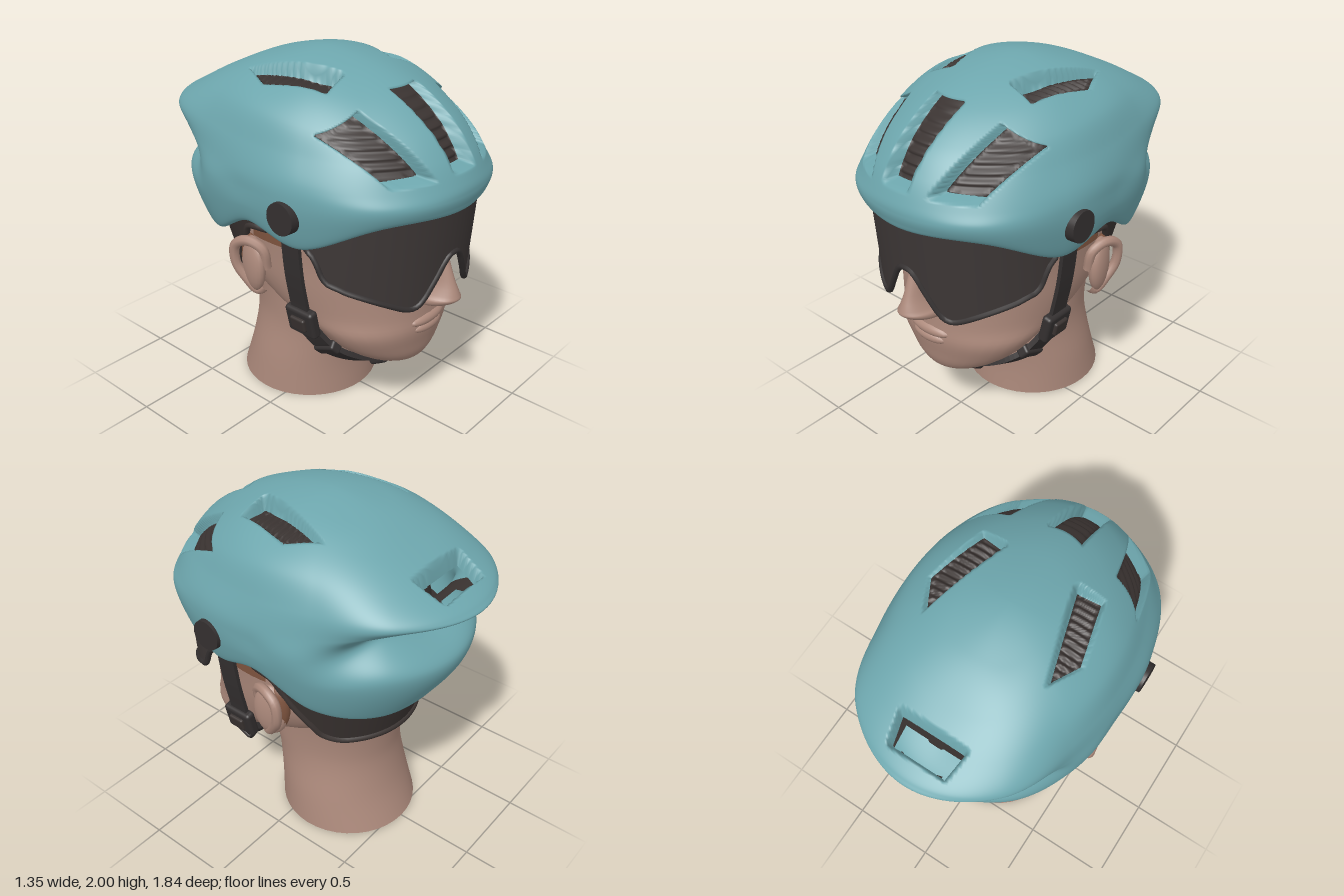
import * as THREE from 'three';
import { RoundedBoxGeometry } from 'three/addons/geometries/RoundedBoxGeometry.js';

const paint = (name, color, side = THREE.FrontSide) => {
  const m = new THREE.MeshStandardMaterial({ color, side });
  m.name = name;
  return m;
};
const V = (x, y, z) => new THREE.Vector3(x, y, z);

// Catmull-Rom blend of four numbers
const blend = (a, b, c, d, t) =>
  b + 0.5 * t * (c - a + t * (2 * a - 5 * b + 4 * c - d + t * (3 * (b - c) + d - a)));

// Surface over a (u, v) grid; kind() sorts triangles: 0 first material, 1 second, 2 left open
function grid(nu, nv, wrap, point, kind) {
  const cols = wrap ? nu : nu + 1, pos = [], lists = [[], [], []];
  for (let j = 0; j <= nv; j++)
    for (let i = 0; i < cols; i++) pos.push(...point(i / nu, j / nv, i).toArray());
  for (let j = 0; j < nv; j++)
    for (let i = 0; i < nu; i++) {
      const k = (i + 1) % cols, a = j * cols + i, b = j * cols + k, c = a + cols, d = b + cols;
      for (const tri of [[a, b, c], [b, d, c]]) lists[kind ? kind(tri) : 0].push(...tri);
    }
  const g = new THREE.BufferGeometry();
  g.setAttribute('position', new THREE.Float32BufferAttribute(pos, 3));
  g.setIndex(lists[0].concat(lists[1]));
  if (kind) {
    g.addGroup(0, lists[0].length, 0);
    g.addGroup(lists[0].length, lists[1].length, 1);
  }
  g.computeVertexNormals();
  return g;
}

// Stack of ellipses, each [y, zFront, zBack, halfWidth]
function loft(rings) {
  const n = rings.length - 1, at = (i) => rings[Math.max(0, Math.min(n, i))];
  return grid(40, n * 4, true, (u, v) => {
    const i = Math.min(n - 1, Math.floor(v * n)), t = v * n - i, a = u * Math.PI * 2;
    const [y, f, b, w] = [0, 1, 2, 3].map((k) => blend(at(i - 1)[k], at(i)[k], at(i + 1)[k], at(i + 2)[k], t));
    return V(w * Math.sin(a), y, (f + b) / 2 + ((f - b) / 2) * Math.cos(a));
  });
}

// Flat webbing along a path
function ribbon(points, across, width, thick) {
  const curve = new THREE.CatmullRomCurve3(points), corners = [[1, 1], [-1, 1], [-1, -1], [1, -1]];
  const g = grid(4, 40, true, (u, v, i) => {
    const T = curve.getTangent(v), N = T.clone().cross(across).normalize(), W = N.clone().cross(T).normalize();
    return curve.getPoint(v).addScaledVector(W, corners[i][0] * width / 2).addScaledVector(N, corners[i][1] * thick / 2);
  }).toNonIndexed();
  g.computeVertexNormals();
  return g;
}

const stepFrom = (knots, x) => {
  let i = 0;
  while (i < knots.length - 2 && x > knots[i + 1][0]) i++;
  const [a, b] = [knots[i], knots[i + 1]];
  return THREE.MathUtils.mapLinear(Math.min(x, b[0]), a[0], b[0], a[1], b[1]);
};

// Shell profiles [radius, y] from crown to lower edge, every 30 degrees from front to back
const PROFILES = [
  [[.30, 1.955], [.55, 1.86], [.74, 1.73], [.85, 1.6], [.91, 1.48], [.92, 1.42], [.91, 1.37], [.89, 1.33]],
  [[.28, 1.955], [.50, 1.86], [.67, 1.73], [.78, 1.6], [.85, 1.48], [.88, 1.42], [.87, 1.36], [.84, 1.32]],
  [[.25, 1.96], [.44, 1.88], [.58, 1.76], [.66, 1.62], [.72, 1.5], [.735, 1.4], [.72, 1.28], [.68, 1.15]],
  [[.23, 1.965], [.40, 1.89], [.54, 1.785], [.61, 1.63], [.65, 1.5], [.655, 1.4], [.65, 1.3], [.62, 1.21]],
  [[.25, 1.96], [.43, 1.89], [.57, 1.79], [.655, 1.65], [.685, 1.52], [.695, 1.4], [.69, 1.25], [.63, 1.06]],
  [[.30, 1.945], [.52, 1.86], [.70, 1.76], [.83, 1.66], [.80, 1.6], [.64, 1.5], [.78, 1.31], [.68, 1.03]],
  [[.30, 1.945], [.55, 1.84], [.75, 1.74], [.90, 1.66], [.885, 1.61], [.56, 1.5], [.80, 1.3], [.69, 1.05]],
];

// Vent outlines, seen from the front (x, y) or from above (x, z), mirrored in x
const VENTS = [
  { pts: [[-.085, 1.86], [.085, 1.86], [.062, 1.55], [-.062, 1.55]], ok: (p) => p.z > .2 },
  { pts: [[.485, 1.71], [.32, 1.79], [.22, 1.54], [.385, 1.53]], ok: (p) => p.z > .2 },
  { pts: [[.42, -.05], [.345, -.19], [.21, .265], [.335, .28]], top: true, ok: (p) => p.y > 1.55 },
  { pts: [[-.175, -.66], [.175, -.66], [.15, -.795], [-.15, -.795]], top: true, open: true, ok: (p, row) => row < 5.95 && p.z < -.4 },
];

// Signed distance to a convex outline, negative inside
function outlineDistance(pts, x, y) {
  const cx = pts.reduce((s, p) => s + p[0], 0) / pts.length, cy = pts.reduce((s, p) => s + p[1], 0) / pts.length;
  return Math.max(...pts.map(([ax, ay], i) => {
    const [bx, by] = pts[(i + 1) % pts.length], l = Math.hypot(bx - ax, by - ay);
    const side = (px, py) => ((px - ax) * (by - ay) - (py - ay) * (bx - ax)) / l;
    return side(cx, cy) > 0 ? -side(x, y) : side(x, y);
  }));
}

function shellGeometry() {
  const NU = 360, NV = 170, ROWS = 10, flags = [];
  const key = (k, j) => {
    const p = PROFILES[k < 0 ? -k : k > 6 ? 12 - k : k];
    if (j === 0) return [0, 2];
    if (j > 8) return j === 9 ? [p[7][0] - .05, p[7][1] + .005] : [p[7][0] - .08, p[7][1] + .15];
    return p[j - 1];
  };
  const columns = Array.from({ length: NU }, (_, i) => {
    const a = Math.min(i, NU - i) / NU * 12, k = Math.min(5, Math.floor(a)), t = a - k;
    return Array.from({ length: ROWS + 1 }, (_, j) =>
      [0, 1].map((c) => blend(key(k - 1, j)[c], key(k, j)[c], key(k + 1, j)[c], key(k + 2, j)[c], t)));
  });
  return grid(NU, NV, true, (u, v, i) => {
    const row = (1 - v) * ROWS, j = Math.min(ROWS - 1, Math.floor(row)), a = u * Math.PI * 2;
    const col = columns[i], at = (n) => n < 0 ? [-col[1][0], col[1][1]] : col[Math.min(ROWS, n)];
    const [r, y] = [0, 1].map((c) => blend(at(j - 1)[c], at(j)[c], at(j + 1)[c], at(j + 2)[c], row - j));
    const p = V(r * Math.sin(a), y, r * Math.cos(a));
    // shadowed opening beneath the tail
    let flag = row > 5.2 && row < 5.95 && Math.abs(a - Math.PI) < .45 ? 1 : 0;
    for (const vent of VENTS) {
      const axis = vent.top ? 'z' : 'y', dist = (x, s) => outlineDistance(vent.pts, Math.abs(x), s);
      let d = dist(p.x, p[axis]);
      if (d > .02 || !vent.ok(p, row)) continue;
      // pull nearby vertices onto the outline for a clean edge
      if (Math.abs(d) < .0085) {
        const e = 1e-4, gx = (dist(p.x + e, p[axis]) - d) / e, gs = (dist(p.x, p[axis] + e) - d) / e;
        p.x -= gx * d;
        p[axis] -= gs * d;
        d = 0;
      }
      if (d <= 0) flag = vent.open ? 2 : 1;
      let depth = .08 * (1 - THREE.MathUtils.smoothstep(d, 0, .02));
      // crown vents get shallower toward their outer edge
      if (vent.top && !vent.open) depth *= THREE.MathUtils.clamp((.46 - Math.abs(p.x)) / .22, .15, 1);
      if (!vent.open) depth += .009 * Math.sin(p[axis] * 150) * THREE.MathUtils.smoothstep(-d, 0, .02);
      // straight recess along the direction each outline is seen from
      if (!vent.top) p.z -= depth;
      else if (row < 3.9) p.y -= depth;
      break;
    }
    flags.push(flag);
    return p;
  }, (tri) => Math.min(...tri.map((c) => flags[c])));
}

export function createModel() {
  const model = new THREE.Group();
  const teal = paint('helmet teal', 0x6da6ad, THREE.DoubleSide);
  const skin = paint('skin', 0xad8a7c);
  const brown = paint('shaded skin brown', 0x7d533e, THREE.DoubleSide);
  const dark = paint('dark liner', 0x3a3331, THREE.DoubleSide);
  const lensPaint = paint('goggle lens', 0x3d3736, THREE.DoubleSide);
  const strapPaint = paint('strap black', 0x343030);
  const add = (name, geometry, material, position, rotation) => {
    const m = new THREE.Mesh(geometry, material);
    m.name = name;
    if (position) m.position.set(...position);
    if (rotation) m.rotation.set(...rotation);
    model.add(m);
  };

  // Head and neck
  add('neck', loft([[0, .26, -.54, .4], [.2, .26, -.47, .385], [.4, .29, -.43, .36], [.55, .33, -.43, .36],
    [.75, .3, -.46, .38], [.95, .2, -.52, .42]]), skin);
  add('neckBase', new THREE.CircleGeometry(.4, 40).rotateX(Math.PI / 2), skin, [0, 0, -.14]);
  add('head', loft([[.35, .55, .5, .01], [.37, .65, .38, .15], [.42, .69, .25, .26], [.5, .71, .12, .36],
    [.6, .73, 0, .43], [.7, .73, -.3, .47], [.85, .73, -.5, .51], [1, .73, -.56, .53],
    [1.2, .77, -.58, .55], [1.4, .74, -.54, .53], [1.6, .4, -.3, .3], [1.65, .1, 0, .01]]), skin);
  add('nose', loft([[.75, .74, .6, .05], [.775, .84, .6, .1], [.81, .895, .6, .105], [.84, .893, .6, .085],
    [.92, .86, .6, .06], [1.08, .8, .6, .05]]), skin);
  for (const [name, y, w, h] of [['upperLip', .65, .14, .04], ['lowerLip', .605, .12, .04]])
    add(name, new THREE.SphereGeometry(1, 24, 12).scale(w, h, .05), skin, [0, y, .7]);

  // Helmet shell with recessed vents, and the liner seen through the tail opening
  add('helmetShell', shellGeometry(), [teal, dark]);
  add('innerLiner', new THREE.SphereGeometry(1, 32, 12, 0, Math.PI * 2, 0, Math.PI / 2).scale(.54, .48, .54), dark, [0, 1.35, 0]);

  // Rear head pad
  const padEdge = [[75, 1.15], [90, 1.15], [95, 1.06], [103, .94], [118, .77], [130, .735], [180, .735]];
  const padPoint = (u, v) => {
    const deg = 75 + u * 210, a = THREE.MathUtils.degToRad(deg);
    const y = THREE.MathUtils.lerp(stepFrom(padEdge, deg > 180 ? 360 - deg : deg), 1.25, v);
    const t = (y - .73) / .4;
    return V((.455 + .1 * t) * Math.sin(a), y, -.05 + (.455 + .12 * t) * Math.cos(a));
  };
  add('rearPad', grid(64, 8, false, padPoint), dark);
  const padRim = Array.from({ length: 41 }, (_, i) => padPoint(i / 40, 0));
  add('rearPadRim', new THREE.TubeGeometry(new THREE.CatmullRomCurve3(padRim), 80, .018, 8), dark);

  // Goggles: curved lens with a nose cut-out and a rim
  const lensEdge = [[0, 1.08], [.05, 1.07], [.19, .84], [.23, .82], [.28, .83], [.49, .94], [.54, .98], [.56, 1.14]];
  const lensPoint = (u, v) => {
    const a = (u - .5) * 3, x = .562 * Math.sin(a);
    const y = THREE.MathUtils.lerp(stepFrom(lensEdge, Math.abs(x)), 1.36, v);
    return V(x, y, .335 + .535 * Math.cos(a) - (1.36 - y) * .08);
  };
  add('goggleLens', grid(80, 10, false, lensPoint), lensPaint);
  const rim = [];
  for (let i = 0; i <= 48; i++) rim.push(lensPoint(i / 48, 0));
  for (let i = 24; i >= 0; i--) rim.push(lensPoint(i / 24, .98));
  add('goggleRim', new THREE.TubeGeometry(new THREE.CatmullRomCurve3(rim, true), 180, .016, 8, true), strapPaint);

  // Ears, side buttons, side straps and buckles
  for (const s of [1, -1]) {
    const side = s > 0 ? 'left' : 'right';
    const helix = [[.54, .92, .05], [.56, 1.03, .045], [.59, 1.07, -.03], [.605, 1.03, -.11], [.6, .92, -.12],
      [.575, .83, -.07], [.55, .77, -.01], [.535, .8, .03]].map(([x, y, z]) => V(s * x, y, z));
    add(side + 'EarRim', new THREE.TubeGeometry(new THREE.CatmullRomCurve3(helix), 40, .028, 8), skin);
    add(side + 'EarBowl', new THREE.SphereGeometry(1, 20, 12).scale(.05, .16, .1), skin, [s * .55, .92, -.035], [0, s * .3, 0]);
    add(side + 'EarBack', new THREE.SphereGeometry(1, 20, 12).scale(.045, .14, .07), brown, [s * .535, .94, -.07], [0, s * .3, 0]);
    add(side + 'Temple', grid(8, 4, false, (u, v) => {
      const a = s * Math.PI / 2 + (u - .55) * .35;
      return V(.56 * Math.sin(a), 1.09 + .13 * v, .1 + .68 * Math.cos(a));
    }), brown);
    add(side + 'Button', new THREE.CylinderGeometry(.085, .09, .09, 32), strapPaint, [s * .63, 1.32, .285], [0, 0, -s * Math.PI / 2]);
    add(side + 'Strap', ribbon([V(s * .58, 1.25, .26), V(s * .545, .95, .255), V(s * .505, .75, .255), V(s * .485, .64, .26)],
      V(0, 0, 1), .115, .022), strapPaint);
    add(side + 'Buckle', new RoundedBoxGeometry(.06, .17, .19, 3, .02), strapPaint, [s * .49, .66, .26], [0, 0, -s * .22]);
    add(side + 'BucklePlate', new RoundedBoxGeometry(.03, .08, .1, 2, .012), dark, [s * .523, .655, .26], [0, 0, -s * .22]);
    add(side + 'Slider', new RoundedBoxGeometry(.06, .07, .15, 3, .015), strapPaint, [s * .39, .48, .345], [-.4, 0, -s * .7]);
  }

  // Chin strap and clasp
  const half = [[.475, .62, .27], [.4, .49, .34], [.3, .405, .4], [.15, .33, .44]];
  const chin = [...half.map((p) => V(...p)), V(0, .305, .45), ...half.slice().reverse().map(([x, y, z]) => V(-x, y, z))];
  add('chinStrap', ribbon(chin, V(0, .4, .9), .12, .03), strapPaint);
  add('chinClasp', new RoundedBoxGeometry(.2, .075, .13, 3, .02), strapPaint, [0, .3, .445], [-.55, 0, 0]);
  return model;
}
